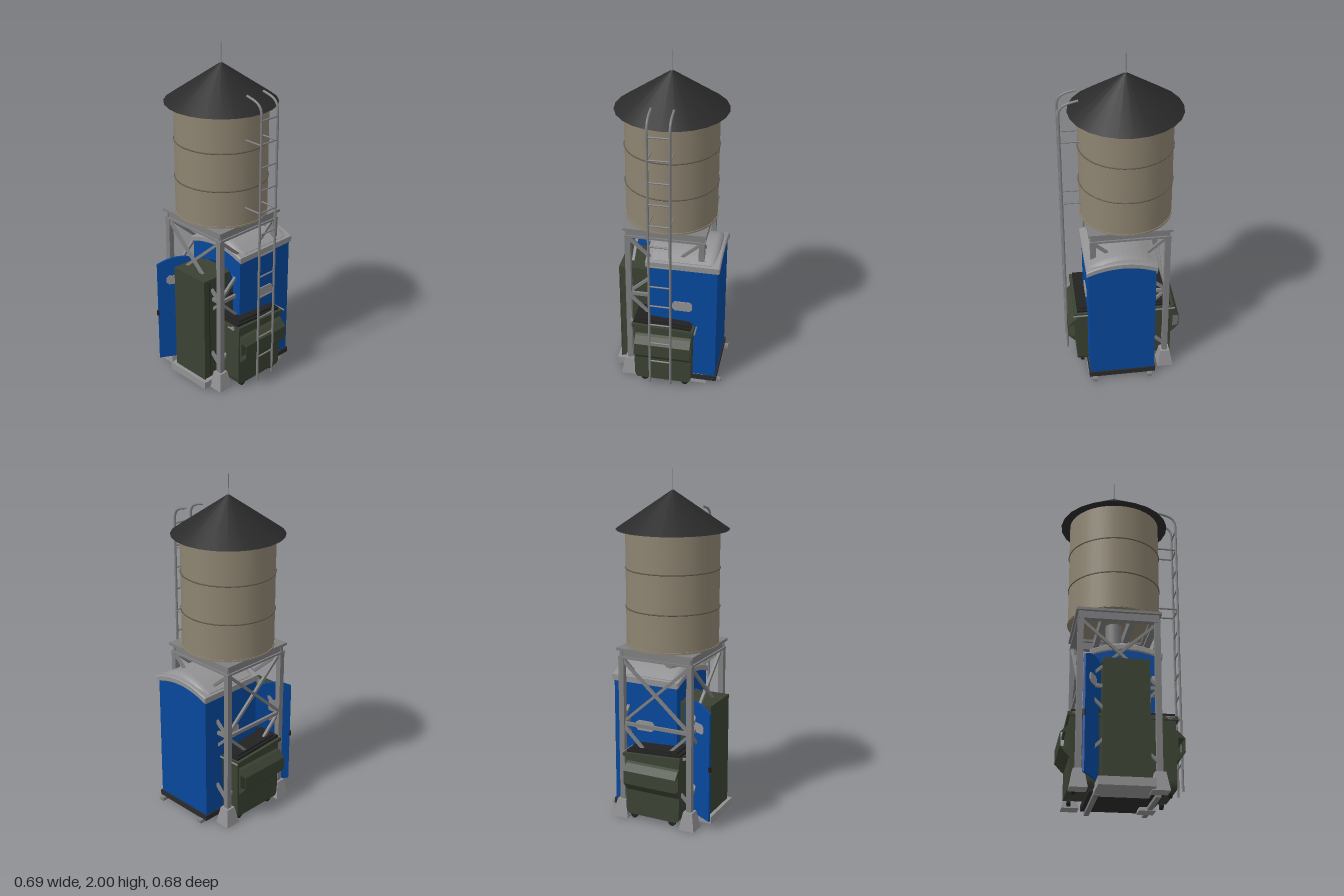
import * as THREE from 'three';

const mat = (name, color, side = THREE.FrontSide) => {
  const m = new THREE.MeshStandardMaterial({ color, side });
  m.name = name;
  return m;
};

export function createModel() {
  const root = new THREE.Group();
  root.name = 'waterTowerYard';
  const tan = mat('tankTan', 0x8d8471);
  const band = mat('bandBrown', 0x5f584b);
  const roofDark = mat('roofCharcoal', 0x2a2a2a);
  const steel = mat('steelGrey', 0x7e7e80);
  const pale = mat('paleGrey', 0x929294);
  const blue = mat('boothBlue', 0x06489c, THREE.DoubleSide);
  const green = mat('oliveGreen', 0x3a4232);
  const black = mat('rubberBlack', 0x202120);

  const group = (name, parent = root) => {
    const g = new THREE.Group();
    g.name = name;
    parent.add(g);
    return g;
  };
  const add = (parent, name, geo, m, x = 0, y = 0, z = 0) => {
    const mesh = new THREE.Mesh(geo, m);
    mesh.name = name;
    mesh.position.set(x, y, z);
    parent.add(mesh);
    return mesh;
  };
  // box given by its extents
  const block = (parent, name, m, x0, x1, y0, y1, z0, z1) =>
    add(parent, name, new THREE.BoxGeometry(x1 - x0, y1 - y0, z1 - z0), m,
      (x0 + x1) / 2, (y0 + y1) / 2, (z0 + z1) / 2);
  // square bar between two points of equal z
  const brace = (parent, m, [x0, y0], [x1, y1], z, t) => {
    const mesh = add(parent, 'brace', new THREE.BoxGeometry(Math.hypot(x1 - x0, y1 - y0), t, t), m,
      (x0 + x1) / 2, (y0 + y1) / 2, z);
    mesh.rotation.z = Math.atan2(y1 - y0, x1 - x0);
  };
  // round rod between two points
  const rod = (parent, name, m, a, b, r) =>
    add(parent, name, new THREE.TubeGeometry(
      new THREE.LineCurve3(new THREE.Vector3(...a), new THREE.Vector3(...b)), 1, r, 8), m);
  const extrude = (shape, depth, opts = {}) =>
    new THREE.ExtrudeGeometry(shape, { depth, bevelEnabled: false, curveSegments: 12, ...opts });
  const polygon = (points, Type = THREE.Shape) => new Type(points.map(([x, y]) => new THREE.Vector2(x, y)));
  // upright panel outline with an arched top; the bottom may be arched too
  const arch = (x0, x1, y0, ySide, yTop, Type = THREE.Shape, yBottomMid = y0) => {
    const s = new Type(), mid = (x0 + x1) / 2;
    s.moveTo(x0, y0);
    if (yBottomMid === y0) s.lineTo(x1, y0);
    else s.quadraticCurveTo(mid, 2 * yBottomMid - y0, x1, y0);
    s.lineTo(x1, ySide);
    s.quadraticCurveTo(mid, 2 * yTop - ySide, x0, ySide);
    s.closePath();
    return s;
  };
  // plate outline with clipped corners
  const clipped = (w, h, c) => polygon([[-w, c - h], [c - w, -h], [w - c, -h], [w, c - h],
    [w, h - c], [w - c, h], [c - w, h], [-w, h - c]]);

  // ---------- Water tank ----------
  const tank = group('waterTank');
  tank.position.x = -0.03;
  add(tank, 'tankBody', new THREE.CylinderGeometry(0.264, 0.264, 0.66, 40), tan, 0, 1.35, 0);
  for (const y of [1.24, 1.46]) {
    const ring = add(tank, 'tankBand', new THREE.TorusGeometry(0.265, 0.004, 6, 40), band, 0, y, 0);
    ring.rotation.x = Math.PI / 2;
  }
  add(tank, 'tankRim', new THREE.CylinderGeometry(0.268, 0.268, 0.01, 40), tan, 0, 1.027, 0);
  add(tank, 'tankRoof', new THREE.ConeGeometry(0.317, 0.217, 24), roofDark, 0, 1.782, 0);
  add(tank, 'spire', new THREE.CylinderGeometry(0.0025, 0.0025, 0.12, 8), steel, 0, 1.94, 0);
  add(tank, 'spireCollar', new THREE.CylinderGeometry(0.007, 0.007, 0.006, 10), steel, 0, 1.889, 0);
  add(tank, 'downPipe', new THREE.CylinderGeometry(0.046, 0.046, 0.3, 20), steel, 0, 0.87, 0);

  // ---------- Tower frame ----------
  const frame = group('towerFrame');
  frame.position.x = -0.03;
  const L = 0.213;
  const foot = new THREE.CylinderGeometry(0.04, 0.067, 0.105, 4, 1).toNonIndexed();
  foot.rotateY(Math.PI / 4);
  foot.computeVertexNormals();
  for (const sx of [-1, 1]) for (const sz of [-1, 1]) {
    block(frame, 'leg', steel, sx * L - 0.016, sx * L + 0.016, 0.09, 0.97, sz * L - 0.016, sz * L + 0.016);
    add(frame, 'footing', foot, pale, sx * L, 0.0525, sz * L);
  }
  for (let i = 0; i < 4; i++) {
    const side = group('frameSide', frame);
    side.rotation.y = i * Math.PI / 2;
    // I-beam
    block(side, 'beamTop', steel, -0.238, 0.238, 1.005, 1.02, L - 0.025, L + 0.025);
    block(side, 'beamWeb', steel, -0.225, 0.225, 0.97, 1.005, L - 0.008, L + 0.008);
    block(side, 'beamBottom', steel, -0.23, 0.23, 0.958, 0.97, L - 0.02, L + 0.018);
    // cross bracing in two panels
    for (const [y0, y1] of [[0.15, 0.565], [0.575, 0.955]]) {
      brace(side, steel, [-L, y0], [L, y1], L - 0.006, 0.016);
      brace(side, steel, [L, y0], [-L, y1], L + 0.006, 0.016);
    }
    block(side, 'strut', steel, -L, L, 0.56, 0.58, L - 0.008, L + 0.008);
  }
  for (const x of [-0.08, 0.08]) block(frame, 'crossBeam', steel, x - 0.015, x + 0.015, 0.965, 1.02, -L, L);

  // ---------- Ladder ----------
  const ladder = group('ladder');
  const V = (x, y, z) => new THREE.Vector3(x, y, z);
  const X = 0.336;
  for (const z of [-0.061, 0.061]) {
    const path = new THREE.CurvePath();
    path.add(new THREE.LineCurve3(V(X, 0.05, z), V(X, 1.68, z)));
    path.add(new THREE.CubicBezierCurve3(V(X, 1.68, z), V(X, 1.75, z), V(0.3, 1.757, z), V(0.228, 1.772, z)));
    add(ladder, 'rail', new THREE.TubeGeometry(path, 90, 0.007, 8), steel);
    for (const y of [1.13, 1.525]) rod(ladder, 'wallBracket', steel, [0.21, y, z], [X, y, z], 0.005);
  }
  for (let i = 0; i < 12; i++) {
    const y = 1.66 - i * 0.132;
    rod(ladder, 'rung', steel, [X, y, -0.061], [X, y, 0.061], 0.005);
  }

  // ---------- Portable booth ----------
  const booth = group('booth');
  block(booth, 'boothBase', roofDark, -0.172, 0.227, 0.022, 0.055, -0.318, 0.1);
  for (const x of [-0.135, 0.195]) block(booth, 'skid', steel, x - 0.014, x + 0.014, 0.003, 0.024, -0.342, 0.11);
  block(booth, 'wallRight', blue, 0.208, 0.22, 0.05, 0.81, -0.31, 0.095);
  block(booth, 'wallLeft', blue, -0.165, -0.153, 0.05, 0.81, -0.31, 0.095);
  add(booth, 'wallBack', extrude(arch(-0.165, 0.22, 0.05, 0.8, 0.85), 0.012), blue, 0, 0, -0.31);
  const front = arch(-0.165, 0.22, 0.05, 0.8, 0.85);
  front.holes.push(arch(-0.11, 0.165, 0.06, 0.69, 0.735, THREE.Path));
  add(booth, 'wallFront', extrude(front, 0.012), blue, 0, 0, 0.083);
  block(booth, 'bench', black, -0.153, 0.208, 0.055, 0.28, -0.298, -0.16);
  for (const x of [0.219, -0.172]) {
    const plate = add(booth, 'sidePlate', extrude(clipped(0.058, 0.03, 0.014), 0.008), pale, x, 0.542, -0.11);
    plate.rotation.y = Math.PI / 2;
  }
  // arched roof lip with a rounded dome rising from it
  add(booth, 'roofLip', extrude(arch(-0.17, 0.227, 0.8, 0.826, 0.868, THREE.Shape, 0.842), 0.416,
    { bevelEnabled: true, bevelSize: 0.005, bevelThickness: 0.006, bevelSegments: 1 }), pale, 0, 0, -0.317);
  add(booth, 'roofDome', extrude(arch(-0.125, 0.18, 0.812, 0.816, 0.861), 0.31,
    { bevelEnabled: true, bevelSize: 0.037, bevelThickness: 0.044, bevelSegments: 5 }), pale, 0, 0, -0.264);

  // door swung open
  const door = group('door', booth);
  door.position.set(-0.1, 0, 0.1);
  door.rotation.y = -2.083;
  add(door, 'doorPanel', extrude(arch(0, 0.264, 0.06, 0.7, 0.737), 0.012), blue, 0, 0, -0.006);
  add(door, 'doorPlate', extrude(clipped(0.045, 0.028, 0.014), 0.02), pale, 0.165, 0.592, -0.01);
  block(door, 'doorHandle', black, 0.258, 0.272, 0.36, 0.39, -0.007, 0.007);

  // ---------- Utility cabinet ----------
  const cabinet = group('utilityCabinet');
  block(cabinet, 'concretePad', pale, -0.15, 0.149, 0.005, 0.05, 0.07, 0.306);
  block(cabinet, 'cabinetBody', green, -0.12, 0.122, 0.05, 0.695, 0.08, 0.28);
  block(cabinet, 'cabinetTop', green, -0.125, 0.127, 0.69, 0.706, 0.075, 0.285);
  block(cabinet, 'cabinetFront', green, -0.125, 0.127, 0.05, 0.69, 0.278, 0.285);
  block(cabinet, 'cabinetSeam', black, 0.12, 0.1235, 0.07, 0.68, 0.238, 0.242);

  // ---------- Dumpster ----------
  const dumpster = group('dumpster');
  const side = new THREE.Shape();
  side.moveTo(-0.145, 0.035);
  side.lineTo(0.155, 0.035);
  side.quadraticCurveTo(0.174, 0.04, 0.174, 0.08);
  side.lineTo(0.178, 0.4);
  side.lineTo(-0.165, 0.425);
  side.lineTo(-0.165, 0.08);
  side.quadraticCurveTo(-0.163, 0.04, -0.145, 0.035);
  const bin = extrude(side, 0.57);
  bin.rotateY(Math.PI / 2);
  add(dumpster, 'binBody', bin, green, -0.285, 0, 0);
  // rim and lid tilt slightly towards the back
  const lid = group('lidAssembly', dumpster);
  lid.position.set(0, 0.418, -0.005);
  lid.rotation.x = -0.06;
  block(lid, 'rim', green, -0.298, 0.298, -0.018, 0.004, -0.18, 0.18);
  block(lid, 'lid', black, -0.28, 0.28, 0.004, 0.018, -0.165, 0.175);
  for (const x of [-0.14, 0.14]) block(lid, 'lidPanel', black, x - 0.125, x + 0.125, 0.018, 0.028, -0.15, 0.15);
  rod(dumpster, 'hingeRod', steel, [-0.305, 0.405, -0.195], [0.305, 0.405, -0.195], 0.005);
  for (const s of [-1, 1]) {
    rod(dumpster, 'lidHandle', steel, [s * 0.225, 0.42, 0.191], [s * 0.275, 0.42, 0.191], 0.005);
    block(dumpster, 'handleArm', steel, s * 0.25 - 0.01, s * 0.25 + 0.01, 0.412, 0.424, 0.16, 0.191);
    // hollow fork sleeve
    const sleeve = polygon([[0.283, 0.185], [0.3, 0.2], [0.336, 0.24], [0.336, 0.318], [0.3, 0.355], [0.283, 0.365]]
      .map(([x, y]) => [s * x, y]));
    sleeve.holes.push(polygon([[0.298, 0.235], [0.332, 0.243], [0.332, 0.315], [0.298, 0.322]]
      .map(([x, y]) => [s * x, y]), THREE.Path));
    add(dumpster, 'forkSleeve', extrude(sleeve, 0.329), green, 0, 0, s > 0 ? -0.174 : -0.163);
    for (const z of [-0.135, 0.11]) {
      const wheel = add(dumpster, 'wheel', new THREE.CylinderGeometry(0.021, 0.021, 0.02, 14), black, s * 0.255, 0.022, z);
      wheel.rotation.z = Math.PI / 2;
    }
  }
  return root;
}
